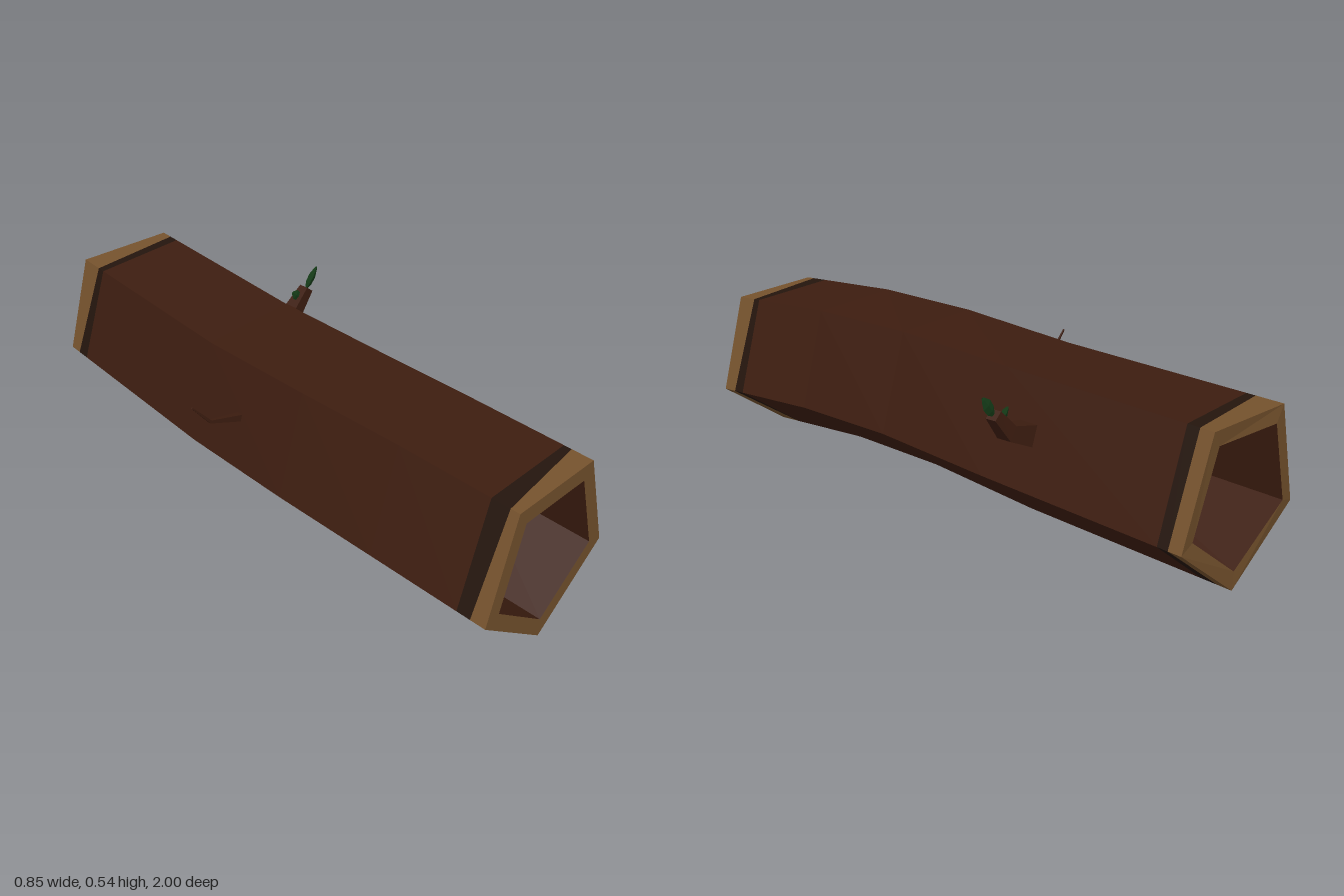
import * as THREE from 'three';

const mat = (color, side = THREE.FrontSide) =>
  new THREE.MeshStandardMaterial({ color, side, flatShading: true, roughness: 1 });

// Skin a series of closed rings; rings run clockwise seen from the first ring's end
function loft(rings) {
  const pos = [];
  for (let i = 0; i < rings.length - 1; i++) {
    const p = rings[i], q = rings[i + 1], n = p.length;
    for (let k = 0; k < n; k++) {
      const m = (k + 1) % n;
      for (const v of [p[k], p[m], q[m], p[k], q[m], q[k]]) pos.push(v.x, v.y, v.z);
    }
  }
  const g = new THREE.BufferGeometry();
  g.setAttribute('position', new THREE.Float32BufferAttribute(pos, 3));
  g.computeVertexNormals();
  return g;
}

// Centre line of the log: z, x, y, twist
const PATH = [
  [1, -0.07, 0.288, 0], [0.6, -0.07, 0.31, 0], [0.22, -0.05, 0.312, 0.02],
  [-0.22, -0.002, 0.298, 0.045], [-0.97, 0.09, 0.303, 0.04],
];

function pathAt(z) {
  let i = 0;
  while (i < PATH.length - 2 && z < PATH[i + 1][0]) i++;
  const a = PATH[i], b = PATH[i + 1], t = (z - a[0]) / (b[0] - a[0]);
  return a.map((v, k) => v + (b[k] - v) * t);
}

// Pentagon ring (top left, top right, right, bottom, left), with a z for each corner
function pentagon(zs, r) {
  return zs.map((z, k) => {
    const [, x, y, twist] = pathAt(z);
    const a = THREE.MathUtils.degToRad(126 - 72 * k) + twist;
    return new THREE.Vector3(x + r * Math.cos(a), y + r * Math.sin(a), z);
  });
}

// Four-sided tapering stick through points [x, y, z, radius]
function stick(pts) {
  const rings = pts.map(([x, y, z, r], i) => {
    const a = pts[Math.max(i - 1, 0)], b = pts[Math.min(i + 1, pts.length - 1)];
    const d = new THREE.Vector2(b[0] - a[0], b[1] - a[1]).normalize();
    return [45, 135, 225, 315].map((deg) => {
      const t = THREE.MathUtils.degToRad(deg), c = Math.cos(t) * r, s = Math.sin(t) * r;
      return new THREE.Vector3(x - d.y * c, y + d.x * c, z + s);
    });
  });
  const [x, y, z] = pts[pts.length - 1];
  rings.push(Array(4).fill(new THREE.Vector3(x, y, z)));
  return loft(rings);
}

// Slim pointed leaf lying along +y, with a raised midrib
function leaf(length, width) {
  const rows = [[0, 0.15], [0.3, 0.9], [0.6, 1], [0.9, 0.45], [1, 0.1]];
  return loft(rows.map(([t, w]) => {
    const h = w * width / 2;
    return [[0, 0.35], [1, 0], [0, -0.35], [-1, 0]].map(
      ([x, z]) => new THREE.Vector3(x * h, t * length, z * h));
  }));
}

export function createModel() {
  const group = new THREE.Group();
  const add = (name, geometry, material) => {
    const mesh = new THREE.Mesh(geometry, material);
    mesh.name = name;
    group.add(mesh);
    return mesh;
  };
  const bark = mat(0x3d1d10), edge = mat(0x24150d), wood = mat(0x75522d);
  const green = mat(0x17401a, THREE.DoubleSide);
  const R = 0.285, r = 0.225;
  const level = (z) => Array(5).fill(z);

  // Rings where the cut wood, dark bark edge and bark meet
  const front = level(1);
  const frontWood = [0.97, 0.93, 0.95, 0.92, 0.95];
  const frontEdge = [0.91, 0.905, 0.91, 0.915, 0.905];
  const backEdge = [-0.87, -0.865, -0.86, -0.87, -0.9];
  const backWood = [-0.9, -0.905, -0.895, -0.92, -0.95];
  const back = [-0.99, -0.95, -0.938, -0.968, -1];
  const bends = PATH.slice(1, 4).map((p) => level(p[0]));
  const outer = (...list) => loft(list.map((zs) => pentagon(zs, R)));

  // Hollow log
  add('bark', outer(frontEdge, ...bends, backEdge), bark);
  add('frontBarkEdge', outer(frontWood, frontEdge), edge);
  add('backBarkEdge', outer(backEdge, backWood), edge);
  add('frontWoodBand', outer(front, frontWood), wood);
  add('backWoodBand', outer(backWood, back), wood);
  add('frontCutFace', loft([pentagon(front, r), pentagon(front, R)]), wood);
  add('backCutFace', loft([pentagon(back, R), pentagon(back, r)]), wood);
  add('hollow', loft([front, ...bends, back].reverse().map((zs) => pentagon(zs, r))), bark);

  // Branch stub with two leaves on the left side
  add('branch', stick([
    [0.225, 0.376, -0.35, 0.048], [0.318, 0.41, -0.345, 0.034], [0.373, 0.478, -0.338, 0.024],
  ]), bark);
  const bigLeaf = add('largeLeaf', leaf(0.09, 0.038), green);
  bigLeaf.position.set(0.367, 0.473, -0.337);
  bigLeaf.rotation.z = -0.68;
  const smallLeaf = add('smallLeaf', leaf(0.052, 0.034), green);
  smallLeaf.position.set(0.345, 0.449, -0.34);
  smallLeaf.rotation.z = 0.85;

  // Thin twig on the right side
  add('twig', stick([
    [-0.245, 0.362, -0.024, 0.016], [-0.362, 0.395, -0.03, 0.007], [-0.425, 0.467, -0.036, 0.003],
  ]), bark);

  return group;
}
